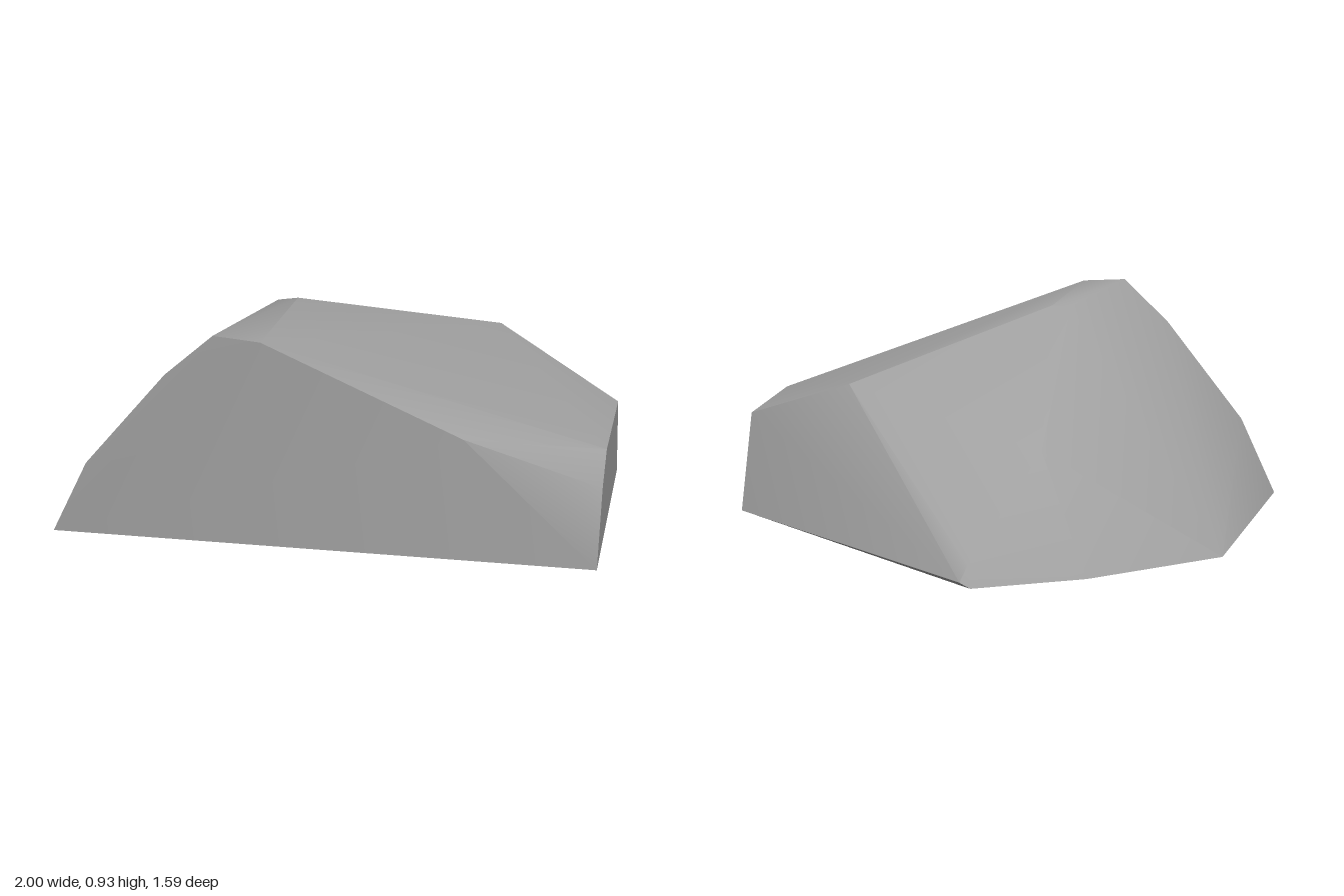
import * as THREE from 'three';
import { toCreasedNormals } from 'three/addons/utils/BufferGeometryUtils.js';
import { ConvexGeometry } from 'three/addons/geometries/ConvexGeometry.js';

export function createModel() {
  const group = new THREE.Group();
  group.name = 'rock';
  const stone = new THREE.MeshStandardMaterial({ color: 0xa0a0a0 });
  stone.name = 'grey stone';

  // Corners of the cut boulder
  const corners = [
    // flat front face
    [-1, 0.07, 0.795], [-0.86, 0.37, 0.795], [-0.55, 0.76, 0.795], [-0.37, 0.93, 0.795],
    [-0.2, 0.92, 0.795], [0.52, 0.605, 0.785],
    // flat end on the left
    [1, 0.07, 0.69], [1, 0.37, 0.62], [1, 0.475, 0.52], [1, 0.44, 0.08], [1, 0.07, -0.055],
    // top and back ridges
    [-0.17, 0.875, 0.32], [-0.24, 0.87, 0.34], [0.52, 0.61, -0.155], [-0.29, 0.43, -0.4],
    [-0.1, 0.075, -0.755],
    // underside rim
    [-0.08, 0.02, -0.795], [-0.12, 0, -0.795], [-0.5, 0.01, -0.595], [-0.93, 0.02, -0.18],
  ].map((c) => new THREE.Vector3(...c));

  // Worn faces blend softly, the cut edges stay sharp
  const boulder = new THREE.Mesh(toCreasedNormals(new ConvexGeometry(corners), 0.56), stone);
  boulder.name = 'boulder';
  group.add(boulder);
  return group;
}
